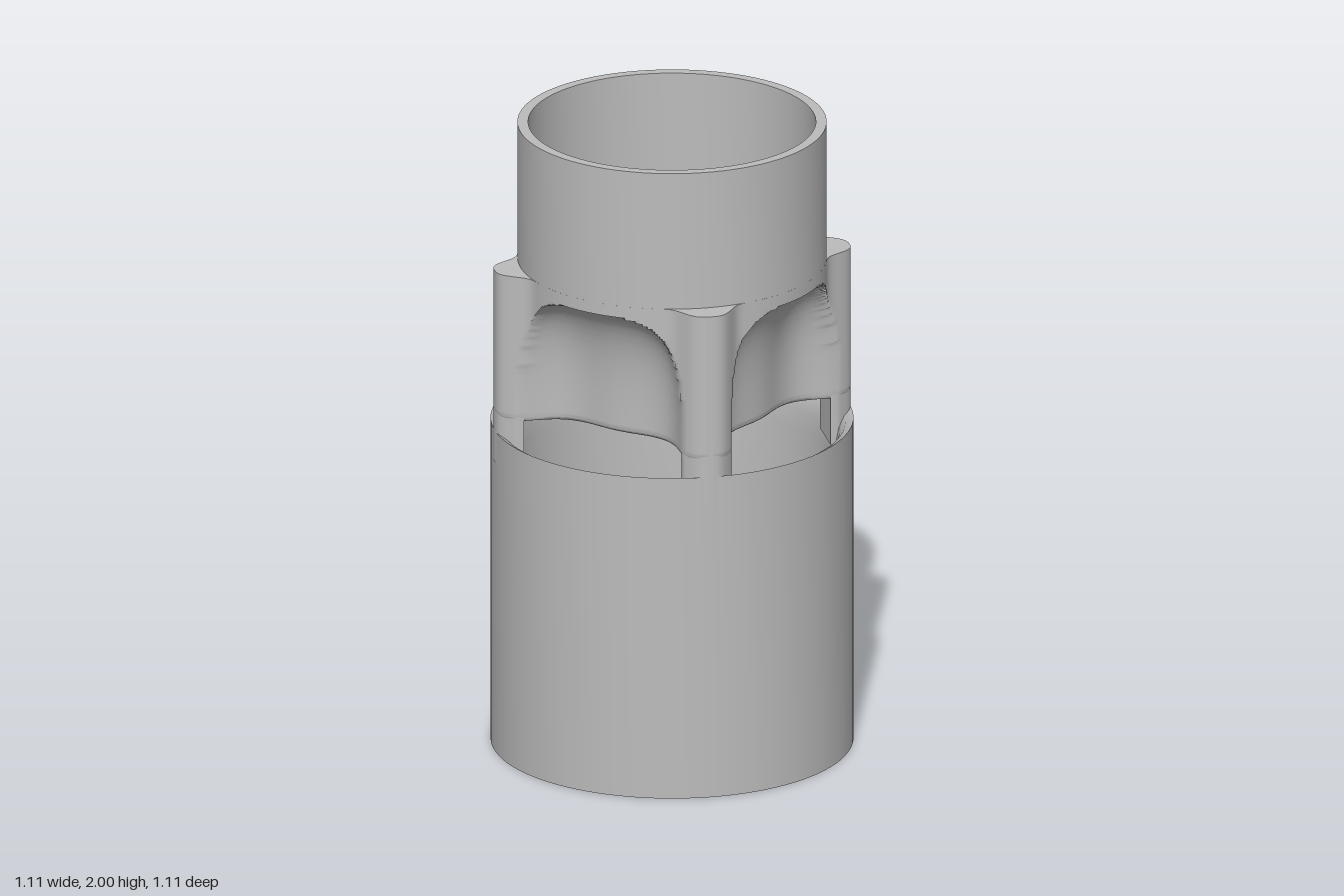
import * as THREE from 'three';
import { toCreasedNormals } from 'three/addons/utils/BufferGeometryUtils.js';

const BODY_BOTTOM = 1.09, BODY_TOP = 1.56, THROAT = 0.305, RING = 0.473;

// Bell-shaped rib bulge on the ring; t is the sideways distance from the rib axis
const bell = (t) => RING + 0.083 * Math.exp(-Math.pow(Math.abs(t) / 0.08, 3));

// Outer radius of the body: four ribs with arched recesses between them
function bodyRadius(theta, y) {
  const quarter = Math.PI / 2;
  const a = theta - Math.round(theta / quarter) * quarter;
  const outer = bell(0.5 * Math.sin(a));
  const across = (Math.PI / 4 - Math.abs(a)) / 0.63;
  const up = Math.max(0, y - 1.1) / 0.42;
  const inside = 1 - Math.pow(across, 3.5) - Math.pow(up, 3.5);
  const depth = inside > 0 ? Math.sqrt(inside) : 0;
  return outer - (outer - 0.325) * depth;
}

function bodyGeometry() {
  const cols = 384, rows = 60, lip = 0.018;
  // Each row is a height plus either a fixed radius or an inset from the outer radius
  const levels = [{ y: BODY_BOTTOM, r: THROAT }];
  for (let k = 0; k <= 5; k++) {
    const a = (k / 5) * Math.PI / 2;
    levels.push({ y: BODY_BOTTOM + lip * (1 - Math.cos(a)), inset: lip * (1 - Math.sin(a)) });
  }
  for (let k = 1; k <= rows; k++) {
    levels.push({ y: BODY_BOTTOM + lip + (BODY_TOP - BODY_BOTTOM - lip) * k / rows, inset: 0 });
  }
  levels.push({ y: BODY_TOP, r: 0.45 });

  const pos = [], index = [];
  for (const { y, r, inset } of levels) {
    for (let i = 0; i < cols; i++) {
      const th = (i / cols) * Math.PI * 2;
      const rad = r ?? bodyRadius(th, y) - inset;
      pos.push(rad * Math.sin(th), y, rad * Math.cos(th));
    }
  }
  for (let j = 0; j < levels.length - 1; j++) {
    for (let i = 0; i < cols; i++) {
      const a = j * cols + i, b = j * cols + (i + 1) % cols;
      index.push(a, b, b + cols, a, b + cols, a + cols);
    }
  }
  const g = new THREE.BufferGeometry();
  g.setAttribute('position', new THREE.Float32BufferAttribute(pos, 3));
  g.setIndex(index);
  return toCreasedNormals(g, 0.9);
}

function turned(points, crease) {
  const profile = points.map(([r, y]) => new THREE.Vector2(r, y));
  return toCreasedNormals(new THREE.LatheGeometry(profile, 96), crease);
}

// Rib leg: bell-shaped front with a flat inner face
function legGeometry(bottom, top) {
  const half = 0.075, inner = 0.48, n = 24;
  const s = new THREE.Shape();
  s.moveTo(-half, -inner);
  s.lineTo(half, -inner);
  for (let i = 0; i <= n; i++) {
    const t = half - (2 * half * i) / n;
    const r = bell(t);
    s.lineTo(t, -Math.sqrt(r * r - t * t));
  }
  const g = new THREE.ExtrudeGeometry(s, { depth: top - bottom, bevelEnabled: false });
  g.rotateX(-Math.PI / 2);
  g.translate(0, bottom, 0);
  return toCreasedNormals(g, 0.7);
}

export function createModel() {
  const group = new THREE.Group();
  const grey = new THREE.MeshStandardMaterial({ color: 0xbcbcbc });
  grey.name = 'grey';
  const add = (name, geometry) => {
    const mesh = new THREE.Mesh(geometry, grey);
    mesh.name = name;
    group.add(mesh);
    return mesh;
  };

  // Lower sleeve, its bore flaring out to a thin edge at both ends
  const flare = [[0.555, 0], [0.53, 0.015], [0.512, 0.045], [0.503, 0.09], [0.5, 0.15]];
  const height = 1.04;
  add('lowerSleeve', turned([
    [0.555, 0], [0.555, height],
    ...flare.slice(1).map(([r, y]) => [r, height - y]),
    ...flare.slice().reverse(),
  ], 0.8));

  // Upper socket with an inner ledge and a narrow throat
  add('upperSocket', turned([
    [RING, BODY_TOP], [RING, 2], [0.44, 2], [0.44, 1.64],
    [THROAT, 1.64], [THROAT, BODY_BOTTOM],
  ], 0.6));

  // Scalloped body joining the socket to the ribs
  add('scallopedBody', bodyGeometry());

  // Four legs reaching down into the sleeve
  const leg = legGeometry(0.94, 1.14);
  for (let i = 0; i < 4; i++) add('ribLeg', leg).rotation.y = i * Math.PI / 2;

  return group;
}
